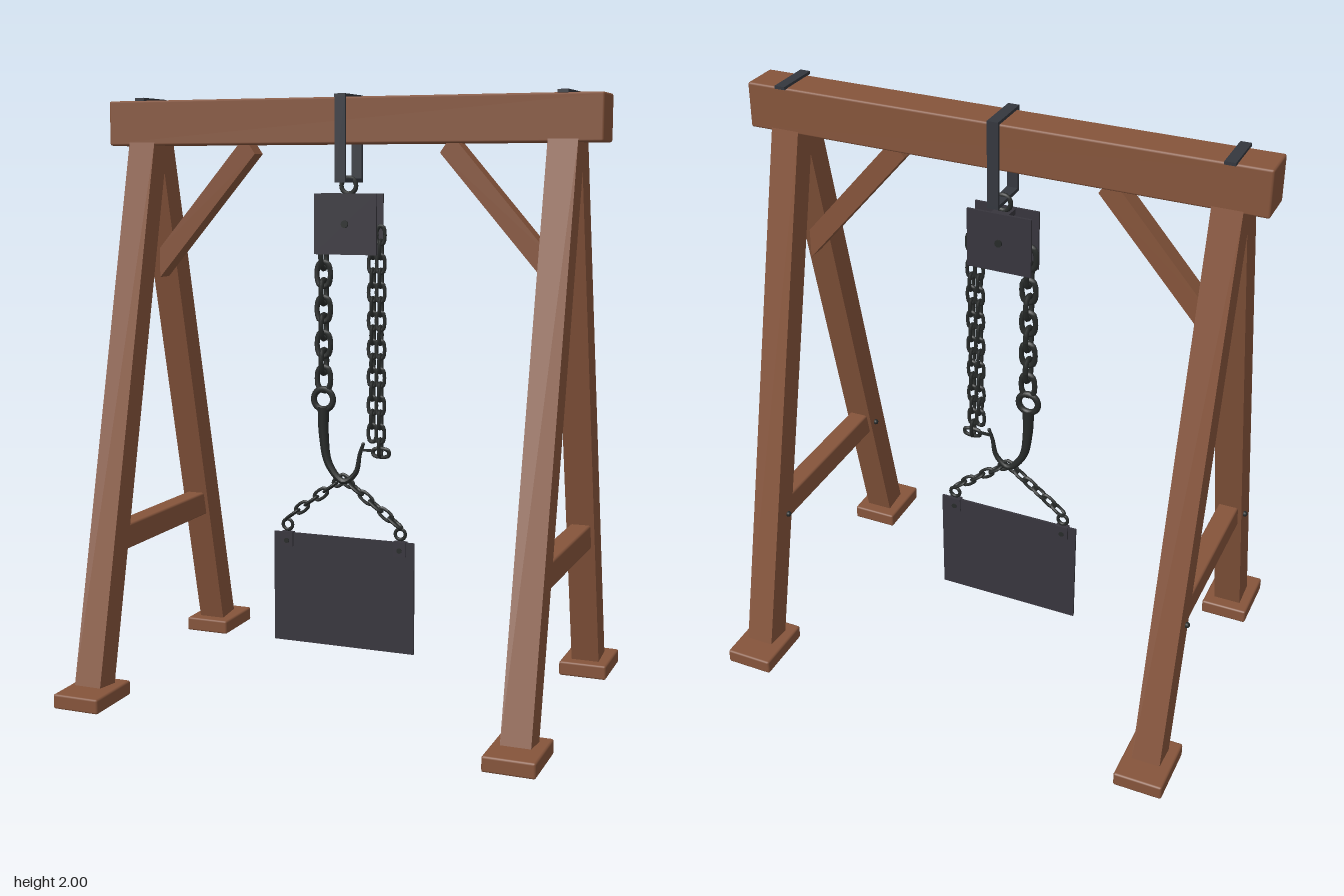
import * as THREE from 'three';
import { RoundedBoxGeometry } from 'three/addons/geometries/RoundedBoxGeometry.js';

const mat = (name, color) => new THREE.MeshStandardMaterial({ name, color });

export function createModel() {
  const model = new THREE.Group();
  model.name = 'hoistFrame';
  const wood = mat('brown wood', 0x85543b);
  const iron = mat('plate iron', 0x37353d);
  const strapIron = mat('strap iron', 0x34373e);
  const chainIron = mat('chain iron', 0x272a29);

  const add = (parent, name, geometry, material, x = 0, y = 0, z = 0) => {
    const mesh = new THREE.Mesh(geometry, material);
    mesh.name = name;
    mesh.position.set(x, y, z);
    parent.add(mesh);
    return mesh;
  };
  const box = (w, h, d) => new THREE.BoxGeometry(w, h, d);
  const timber = (w, h, d) => new RoundedBoxGeometry(w, h, d, 1, 0.007);
  // Flat outline extruded symmetrically about z = 0
  const prism = (points, depth) => {
    const shape = new THREE.Shape(points.map(p => new THREE.Vector2(...p)));
    return new THREE.ExtrudeGeometry(shape, { depth, bevelEnabled: false }).translate(0, 0, -depth / 2);
  };

  // Top beam
  add(model, 'beam', timber(1.715, 0.15, 0.136), wood, 0, 1.915, 0);

  // Two A-shaped trestles
  const legGeo = prism([[0.41, 0.05], [0.505, 0.06], [0.068, 1.85], [-0.024, 1.85]], 0.096).rotateY(-Math.PI / 2);
  const braceGeo = prism([[-0.69, 1.49], [-0.69, 1.39], [-0.325, 1.81], [-0.347, 1.842], [-0.385, 1.842]], 0.064);
  for (const side of [-1, 1]) {
    const trestle = new THREE.Group();
    trestle.name = side < 0 ? 'rightTrestle' : 'leftTrestle';
    trestle.position.x = side * 0.732;
    model.add(trestle);
    for (const s of [1, -1]) {
      const leg = add(trestle, 'leg', legGeo, wood);
      if (s < 0) leg.rotation.y = Math.PI;
      add(trestle, 'foot', timber(0.166, 0.05, 0.22), wood, 0, 0.025, s * 0.475);
      add(trestle, 'bolt', new THREE.SphereGeometry(0.01, 10, 8), chainIron, -0.052, 0.52, s * 0.325);
    }
    add(trestle, 'crossbar', timber(0.07, 0.085, 0.64), wood, 0, 0.522, 0);
    add(trestle, 'topClamp', box(0.035, 0.01, 0.16), strapIron, 0, 1.994, 0);
    // Diagonal brace up to the beam
    const brace = add(model, 'brace', braceGeo, wood);
    if (side > 0) brace.rotation.y = Math.PI;
  }

  // Strap looped round the beam
  add(model, 'strapTop', box(0.037, 0.01, 0.16), strapIron, 0, 1.995, 0);
  add(model, 'strapBottom', box(0.037, 0.012, 0.16), strapIron, 0, 1.722, 0);
  for (const s of [1, -1]) add(model, 'strapSide', box(0.037, 0.284, 0.01), strapIron, 0, 1.858, s * 0.075);
  add(model, 'blockEye', new THREE.TorusGeometry(0.026, 0.008, 8, 20), chainIron, 0, 1.705, 0);

  // Pulley block with sheave and axle
  for (const s of [1, -1]) add(model, 'blockPlate', box(0.22, 0.2, 0.008), iron, 0, 1.58, s * 0.031);
  add(model, 'blockTop', box(0.06, 0.02, 0.056), iron, 0, 1.668, 0);
  const round = (r, h) => new THREE.CylinderGeometry(r, r, h, 24).rotateX(Math.PI / 2);
  add(model, 'sheave', round(0.08, 0.04), chainIron, 0, 1.58, 0);
  add(model, 'axle', round(0.012, 0.084), chainIron, 0, 1.58, 0);

  // Oval chain link: a torus pulled apart along y
  const linkGeometry = (halfWidth, halfHeight, wire) => {
    const r = halfWidth - wire;
    const g = new THREE.TorusGeometry(r, wire, 7, 18);
    const p = g.attributes.position;
    for (let i = 0; i < p.count; i++) {
      const y = p.getY(i);
      p.setY(i, y + (halfHeight - halfWidth) * THREE.MathUtils.clamp(y / (0.7 * r), -1, 1));
    }
    g.computeVertexNormals();
    return g;
  };
  // Straight run of links, every other one turned a quarter
  const chain = (name, a, b, count, geometry) => {
    const group = new THREE.Group();
    group.name = name;
    model.add(group);
    const angle = Math.atan2(b[1] - a[1], b[0] - a[0]) + Math.PI / 2;
    for (let i = 0; i < count; i++) {
      const t = i / (count - 1);
      const link = add(group, 'link', geometry, chainIron,
        a[0] + (b[0] - a[0]) * t, a[1] + (b[1] - a[1]) * t, 0);
      link.rotation.set(0, i % 2 ? Math.PI / 2 : 0, angle, 'ZYX');
    }
  };
  chain('loadChain', [-0.09, 1.53], [-0.09, 1.06], 9, linkGeometry(0.034, 0.05, 0.009));
  const handLink = linkGeometry(0.021, 0.036, 0.006);
  chain('handChainInner', [0.085, 1.545], [0.085, 0.885], 15, handLink);
  chain('handChainOuter', [0.113, 1.545], [0.113, 0.837], 16, handLink);
  const endLink = add(model, 'endLink', handLink, chainIron, 0.116, 0.82, 0);
  endLink.rotation.z = Math.PI / 2;

  // Hook: tube that narrows towards its tip
  const path = new THREE.CatmullRomCurve3([
    [-0.092, 0.965], [-0.091, 0.87], [-0.073, 0.77], [-0.02, 0.712], [0.025, 0.745], [0.04, 0.81], [0.052, 0.845],
  ].map(([x, y]) => new THREE.Vector3(x, y, 0)));
  const steps = 32, sides = 10;
  const hookGeo = new THREE.TubeGeometry(path, steps, 0.02, sides);
  const pos = hookGeo.attributes.position, v = new THREE.Vector3();
  for (let i = 0; i < pos.count; i++) {
    const t = Math.floor(i / (sides + 1)) / steps;
    const c = path.getPointAt(t);
    v.fromBufferAttribute(pos, i).sub(c).multiplyScalar(1 - 0.72 * t).add(c);
    pos.setXYZ(i, v.x, v.y, v.z);
  }
  hookGeo.computeVertexNormals();
  add(model, 'hook', hookGeo, chainIron);
  add(model, 'hookTip', new THREE.SphereGeometry(0.0065, 8, 6), chainIron, 0.052, 0.845, 0);
  add(model, 'hookEye', new THREE.TorusGeometry(0.035, 0.011, 8, 24), chainIron, -0.092, 0.99, 0);
  add(model, 'hookLatch', box(0.05, 0.008, 0.008), chainIron, 0.065, 0.825, 0);

  // Hanging plate on a two-legged chain sling
  const cx = -0.02;
  add(model, 'hangingPlate', box(0.512, 0.385, 0.008), iron, cx, 0.327, 0);
  const slingLink = linkGeometry(0.02, 0.033, 0.0055);
  for (const s of [-1, 1]) {
    chain('slingChain', [cx + s * 0.012, 0.715], [cx + s * 0.188, 0.584], 6, slingLink);
    add(model, 'slingRing', new THREE.TorusGeometry(0.018, 0.006, 8, 18), chainIron, cx + s * 0.206, 0.547, 0);
    add(model, 'plateClip', box(0.044, 0.05, 0.022), iron, cx + s * 0.206, 0.497, 0);
    add(model, 'clipRivet', round(0.009, 0.028), chainIron, cx + s * 0.206, 0.492, 0);
  }
  return model;
}
